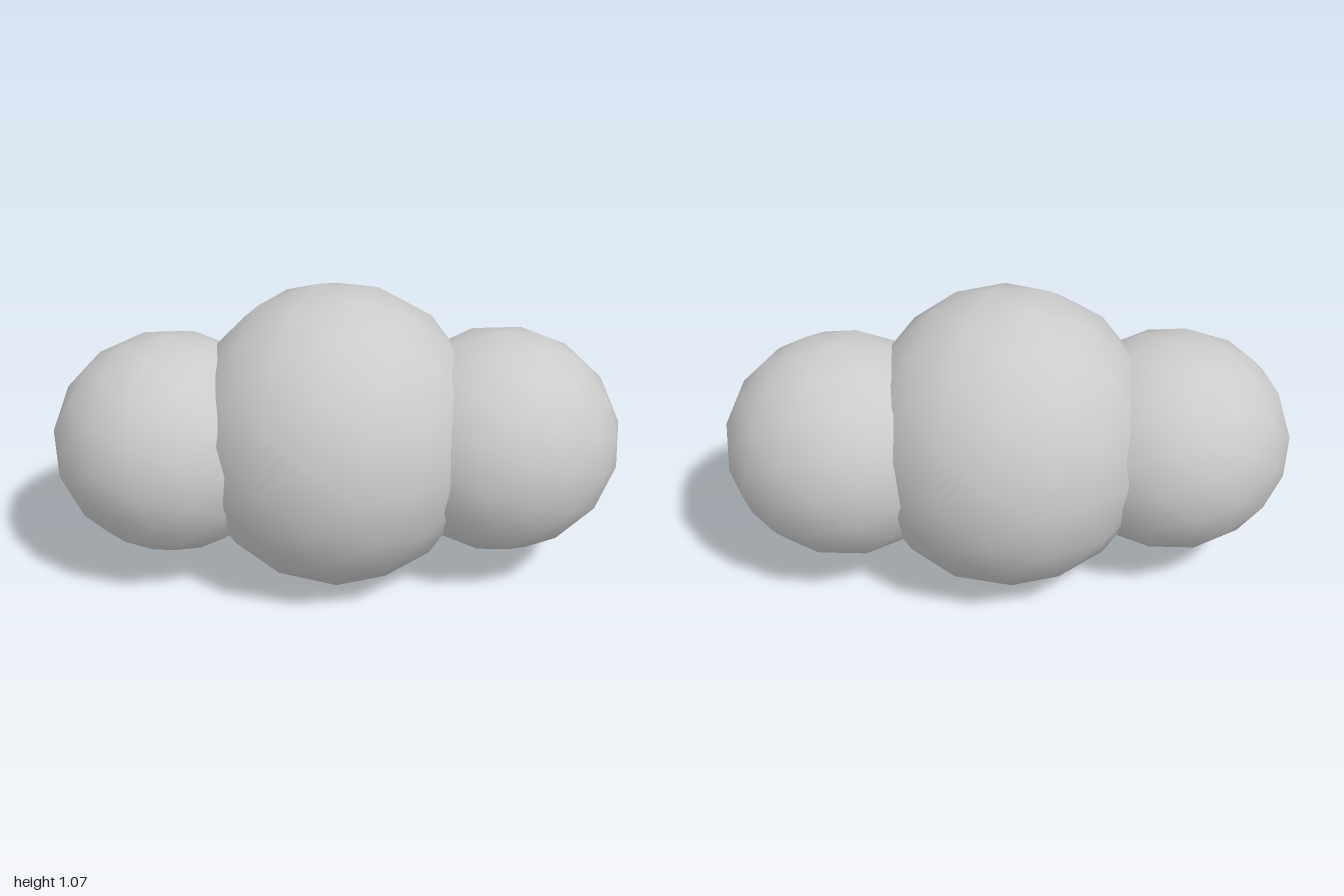
import * as THREE from 'three';

// Low-poly ball: subdivided icosahedron, smooth normals, own radius per axis
function ball(name, radii, position, turnY, tiltZ, material) {
  const geometry = new THREE.IcosahedronGeometry(1, 2);
  geometry.rotateY(turnY).rotateZ(tiltZ).scale(...radii);
  const mesh = new THREE.Mesh(geometry, material);
  mesh.name = name;
  mesh.position.set(...position);
  return mesh;
}

export function createModel() {
  const group = new THREE.Group();
  group.name = 'threeBallCluster';
  const material = new THREE.MeshStandardMaterial({ color: 0xcccccc });

  // Large ball in the middle
  group.add(ball('centreBall', [0.527, 0.544, 0.525], [0, 0.535, 0], -0.87, 0, material));

  // Smaller balls sunk into either side, slightly drawn outwards
  group.add(ball('leftBall', [0.423, 0.402, 0.403], [0.579, 0.517, -0.005], 0.18, 0.19, material));
  group.add(ball('rightBall', [0.42, 0.395, 0.405], [-0.582, 0.506, 0.012], 0.18, 0.19, material));

  return group;
}
